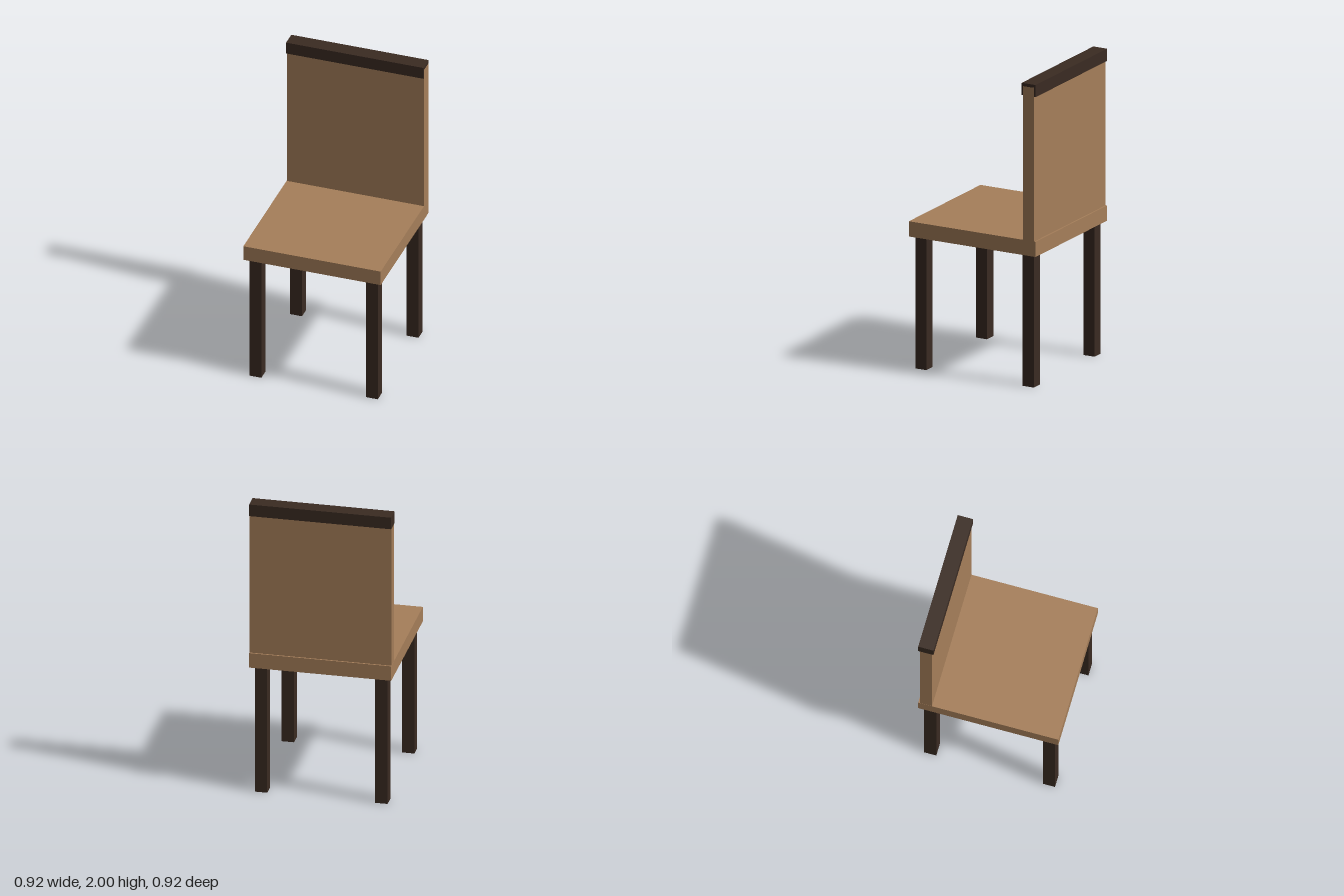
import * as THREE from 'three';

export function createModel() {
  const model = new THREE.Group();
  model.name = 'chair';
  const tan = new THREE.MeshStandardMaterial({ color: 0xa67f5a });
  const dark = new THREE.MeshStandardMaterial({ color: 0x3a2b22 });

  const box = (name, material, [w, h, d], [x, y, z]) => {
    const mesh = new THREE.Mesh(new THREE.BoxGeometry(w, h, d), material);
    mesh.name = name;
    mesh.position.set(x, y, z);
    model.add(mesh);
  };

  // Square seat slab
  box('seat', tan, [0.916, 0.1, 0.916], [0, 0.92, 0]);

  // Upright back panel, its end just proud of the rail on the left side
  box('backPanel', tan, [0.916, 1.01, 0.08], [0.001, 1.475, -0.408]);

  // Dark rail capping the back
  box('topRail', dark, [0.916, 0.08, 0.1], [0, 1.96, -0.408]);

  // Four square legs, stopping just short of the seat
  for (const [end, z] of [['front', 0.388], ['back', -0.388]]) {
    for (const [side, x] of [['Left', 0.388], ['Right', -0.388]]) {
      box(`${end}${side}Leg`, dark, [0.08, 0.86, 0.08], [x, 0.43, z]);
    }
  }

  return model;
}
